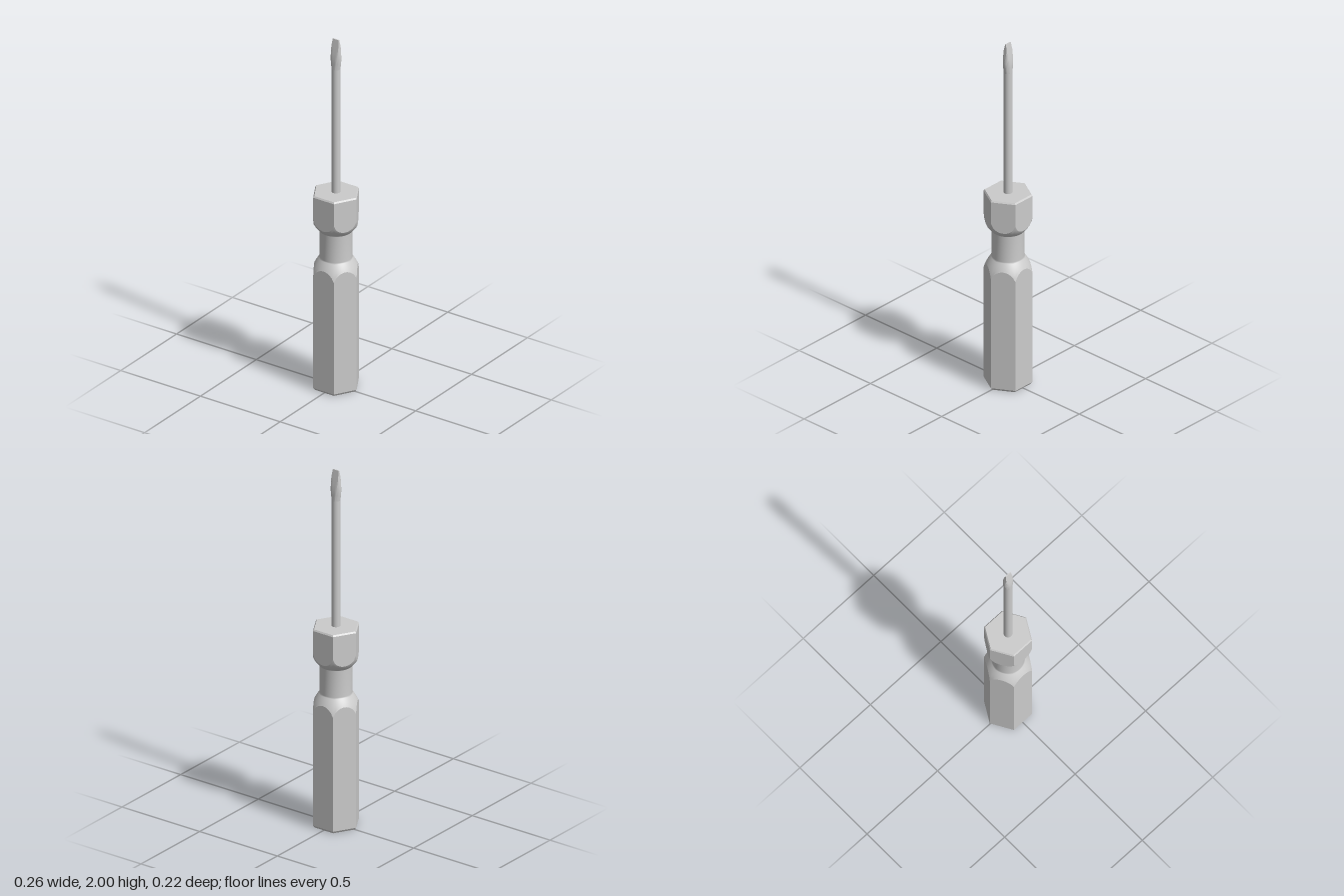
import * as THREE from 'three';
import { toCreasedNormals } from 'three/addons/utils/BufferGeometryUtils.js';

const FLAT = 0.112;              // centre to flat of the hexagon
const CORNER = 0.13;             // centre to corner
const NECK = 0.084;              // radius of the turned grip groove
const lerp = THREE.MathUtils.lerp;
const clamp = THREE.MathUtils.clamp;

// Hexagon radius at an angle, corners on the x axis
function hexRadius(a) {
  const side = Math.PI / 3;
  const k = Math.round(a / side * 1e6) / 1e6;
  return FLAT / Math.cos((k - Math.floor(k) - 0.5) * side);
}

// Surface from rows of points: point(angle, row) gives [x, y, z]
function skin(sides, rows, point) {
  const pos = [], index = [];
  for (let j = 0; j < rows; j++) {
    for (let i = 0; i < sides; i++) pos.push(...point(i / sides * Math.PI * 2, j));
  }
  for (let j = 0; j < rows - 1; j++) {
    for (let i = 0; i < sides; i++) {
      const n = (i + 1) % sides;
      const a = j * sides + i, b = j * sides + n;
      index.push(a, b, b + sides, a, b + sides, a + sides);
    }
  }
  const g = new THREE.BufferGeometry();
  g.setAttribute('position', new THREE.Float32BufferAttribute(pos, 3));
  g.setIndex(index);
  g.computeVertexNormals();
  return g;
}

const polar = (r, a, y) => [r * Math.cos(a), y, -r * Math.sin(a)];

// Heights at which the flared groove walls reach radius r
const depth = r => clamp((CORNER - r) / (CORNER - NECK), 0, 1);
const lowerWall = r => 0.65 + 0.1 * Math.pow(depth(r), 0.65);
const upperWall = r => 1.0 - 0.1 * Math.pow(depth(r), 0.45);

export function createModel() {
  const group = new THREE.Group();
  const material = new THREE.MeshStandardMaterial({ color: 0xcccccc });
  const add = (name, geometry) => {
    const mesh = new THREE.Mesh(geometry, material);
    mesh.name = name;
    group.add(mesh);
  };

  const SIDES = 72;

  // Hexagonal grip with chamfered butt, ending where the groove cuts in
  const grip = skin(SIDES, 4, (a, j) => {
    const h = hexRadius(a);
    return polar(h * [0, 0.93, 1, 1][j], a, [0, 0, 0.012, lowerWall(h)][j]);
  });
  add('handleGrip', toCreasedNormals(grip, 0.4));

  // Round groove scooped out of the hexagon
  const STEPS = 8;
  const neck = skin(SIDES, 2 * STEPS + 2, (a, j) => {
    const h = hexRadius(a);
    const lower = j <= STEPS;
    const t = lower ? j / STEPS : (2 * STEPS + 1 - j) / STEPS;
    const r = lerp(h, NECK, t);
    return polar(r, a, lower ? lowerWall(r) : upperWall(r));
  });
  add('handleNeck', neck);

  // Hexagonal collar with chamfered top
  const collar = skin(SIDES, 4, (a, j) => {
    const h = hexRadius(a);
    return polar(h * [1, 1, 0.95, 0][j], a, [upperWall(h), 1.112, 1.12, 1.12][j]);
  });
  add('handleCollar', toCreasedNormals(collar, 0.4));

  // Round steel shaft
  const shaft = new THREE.CylinderGeometry(0.023, 0.023, 0.74, 24, 1, true);
  shaft.translate(0, 1.46, 0);
  add('shaft', shaft);

  // Flared flat blade: [y, x radius, half width, half thickness]
  const blade = [
    [1.83, 0.023, 0.03, 0.023],
    [1.865, 0.028, 0.03, 0.023],
    [1.89, 0.03, 0.03, 0.023],
    [1.92, 0.028, 0.027, 0.0175],
    [1.96, 0.026, 0.022, 0.0105],
    [2, 0.024, 0.018, 0.003],
    [2, 0, 0, 0],
  ];
  const tip = skin(24, blade.length, (a, j) => {
    const [y, rx, w, d] = blade[j];
    return [clamp(rx * Math.cos(a), -w, w), y, clamp(-0.023 * Math.sin(a), -d, d)];
  });
  add('bladeTip', toCreasedNormals(tip, 0.45));

  return group;
}
